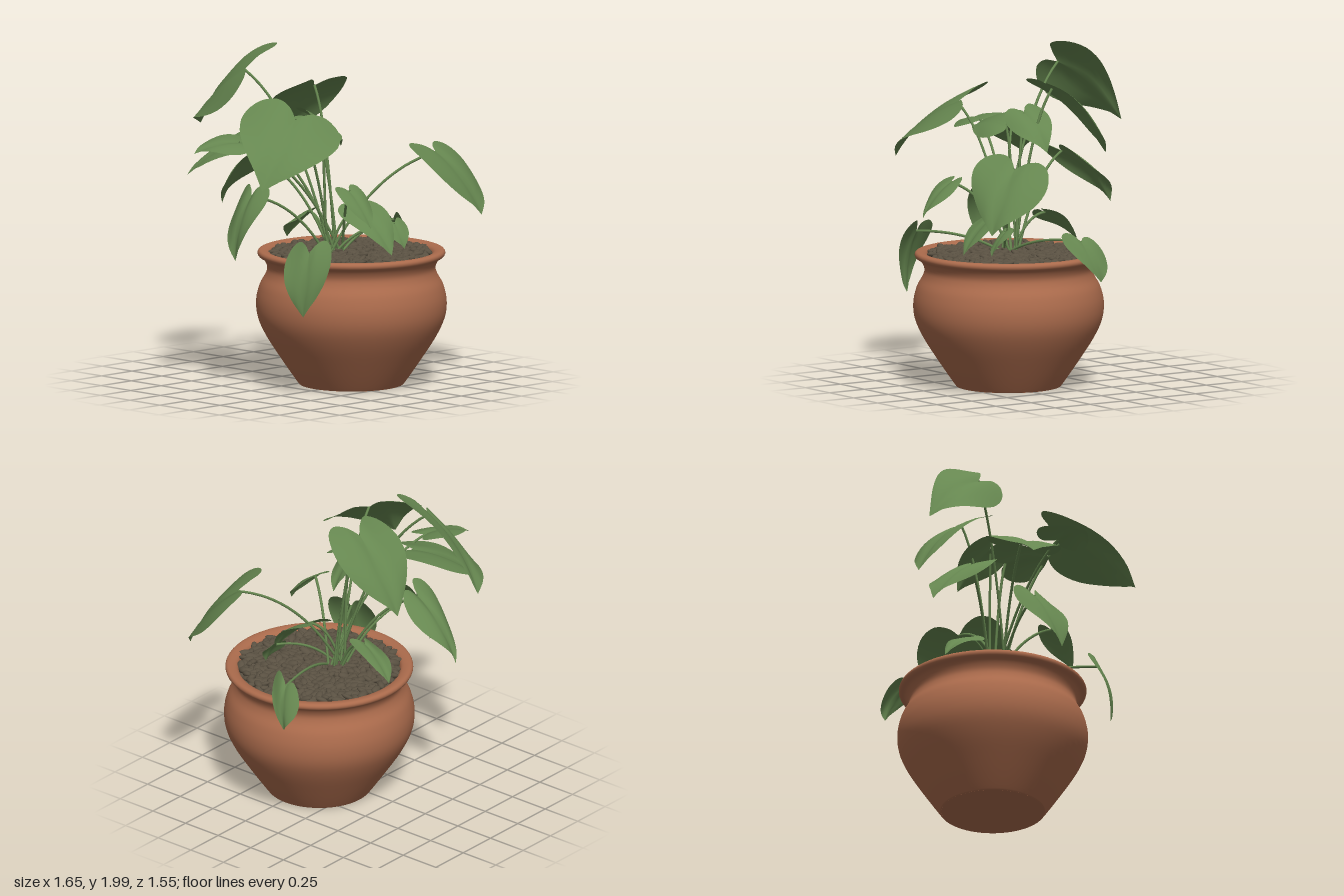
import * as THREE from 'three';
import { mergeGeometries } from 'three/addons/utils/BufferGeometryUtils.js';

const V = (a) => new THREE.Vector3(...a);
const spline = (pairs) => new THREE.SplineCurve(pairs.map(([x, y]) => new THREE.Vector2(x, y)));
const CENTRE = { x: 0.11, z: 0.22 };

// Each leaf: stalk joint, tip, full width vector
const LEAVES = [
  // tall leaves at the back
  { base: [-0.21, 1.84, -0.35], tip: [-0.16, 1.47, -0.77], side: [0.36, 0.34, 0.05] },
  { base: [0.11, 1.74, -0.09], tip: [0.17, 1.34, -0.43], side: [0.46, 0, 0.09] },
  { base: [-0.14, 1.32, -0.33], tip: [-0.1, 1, -0.65], side: [0.3, -0.02, -0.1] },
  // leaves on the -x side
  { base: [-0.38, 1.63, 0.25], tip: [-0.8, 1.27, 0.4], side: [0.27, -0.18, 0.52] },
  { base: [-0.35, 1.48, -0.12], tip: [-0.64, 1.26, -0.39], side: [0.32, 0.06, -0.3] },
  { base: [-0.56, 1.48, -0.04], tip: [-0.82, 1.43, -0.15], side: [-0.12, -0.06, 0.27] },
  { base: [-0.42, 1.14, -0.08], tip: [-0.59, 0.78, -0.04], side: [-0.06, 0.03, 0.3] },
  { base: [-0.48, 0.87, 0.47], tip: [-0.55, 0.5, 0.49], side: [0.13, 0.03, 0.26] },
  // front and centre
  { base: [-0.05, 1.53, 0.13], tip: [-0.37, 1.48, 0.13], side: [0.04, -0.12, 0.3] },
  { base: [-0.02, 1.59, 0.02], tip: [0.22, 1.38, 0.02], side: [0.06, 0.06, -0.24] },
  { base: [0.12, 1.05, 0.28], tip: [0.12, 0.8, 0.55], side: [0.29, 0.03, 0.03] },
  { base: [-0.14, 1.2, 0.46], tip: [-0.15, 1, 0.65], side: [0.2, 0, 0.02] },
  { base: [0.31, 0.95, 0.38], tip: [0.3, 0.81, 0.47], side: [0.15, 0.02, 0.02] },
  { base: [0.05, 1, -0.08], tip: [0.08, 0.82, -0.29], side: [0.2, 0.06, 0.03] },
  // leaves on the +x side
  { base: [0.55, 1.36, 0.48], tip: [0.68, 1, 0.73], side: [0.51, -0.07, -0.16] },
  { base: [0.62, 0.9, 0.05], tip: [0.72, 0.67, -0.02], side: [-0.05, 0.06, 0.24] },
];

// Half of a heart outline: along the midrib, outwards
const HEART = spline([
  [0, 0], [-0.13, 0.2], [-0.2, 0.52], [-0.1, 0.85], [0.14, 1],
  [0.42, 0.88], [0.68, 0.57], [0.88, 0.22], [1, 0],
]);

// Pot section from the middle of the base, up the belly and over the rim
const POT = spline([
  [0, 0.012], [0.27, 0.003], [0.302, 0.003], [0.32, 0.02], [0.41, 0.15], [0.5, 0.29],
  [0.55, 0.4], [0.56, 0.5], [0.54, 0.59], [0.505, 0.655], [0.495, 0.7], [0.515, 0.745],
  [0.545, 0.765], [0.552, 0.785], [0.54, 0.8], [0.51, 0.8], [0.48, 0.785], [0.465, 0.74],
]);

function seeded(seed) {
  return () => {
    seed = (seed * 16807) % 2147483647;
    return seed / 2147483647;
  };
}

// Heart-shaped blade, domed and a little wavy at the edge
function leafGeometry({ base, tip, side }, index) {
  const origin = V(base);
  const axis = V(tip).sub(origin);
  const half = V(side).multiplyScalar(0.5);
  const normal = axis.clone().cross(half).normalize();
  if (normal.y < 0) normal.negate();
  const length = axis.length();
  const rows = 28, cols = 12;
  const pos = [], idx = [];
  for (let i = 0; i <= rows; i++) {
    const t = i / rows;
    const edge = HEART.getPoint(t);
    for (let j = 0; j <= cols; j++) {
      const w = (j / cols) * 2 - 1;
      const a = Math.abs(w);
      const u = THREE.MathUtils.lerp(t, edge.x, a);
      const v = edge.y * w;
      const dome = 0.3 * u * (1 - u) - 0.07 * v * v + 0.03 * Math.min(1, Math.abs(v) * 4);
      const wave = 0.04 * a * a * Math.sin(t * 10 + index * 2 + (w > 0 ? 1.5 : 0)) * Math.sin(Math.PI * t);
      const p = origin.clone().addScaledVector(axis, u).addScaledVector(half, v)
        .addScaledVector(normal, length * (dome + wave));
      pos.push(p.x, p.y, p.z);
      if (i < rows && j < cols) {
        const k = i * (cols + 1) + j;
        idx.push(k, k + 1, k + cols + 1, k + 1, k + cols + 2, k + cols + 1);
      }
    }
  }
  const geo = new THREE.BufferGeometry();
  geo.setAttribute('position', new THREE.Float32BufferAttribute(pos, 3));
  geo.setIndex(idx);
  geo.computeVertexNormals();
  return geo;
}

// Arching stalk from the crown of the plant to the leaf joint
function stemGeometry({ base }, rand) {
  const end = V(base);
  const root = new THREE.Vector3(0.03 + 0.1 * (rand() - 0.5), 0.77, 0.16 + 0.12 * (rand() - 0.5));
  const bend = root.clone().lerp(end, 0.4);
  bend.y = THREE.MathUtils.lerp(root.y, end.y, 0.75) + 0.05;
  const curve = new THREE.QuadraticBezierCurve3(root, bend, end);
  return new THREE.TubeGeometry(curve, 18, 0.008, 6);
}

// Seed-shaped pebbles spread in a sunflower spiral
function pebbleGeometry() {
  const rand = seeded(77);
  const count = 480, list = [];
  for (let i = 0; i < count; i++) {
    const r = 0.465 * Math.sqrt((i + 0.5) / count);
    const a = i * 2.39996;
    const size = 0.9 + 0.4 * rand();
    const g = new THREE.IcosahedronGeometry(1, 1);
    g.scale(0.038 * size, 0.015 * size, 0.021 * size);
    g.rotateZ((rand() - 0.5) * 0.9);
    g.rotateX((rand() - 0.5) * 1.1);
    g.rotateY(rand() * Math.PI * 2);
    g.translate(CENTRE.x + r * Math.cos(a), 0.776 + 0.014 * rand(), CENTRE.z + r * Math.sin(a));
    list.push(g);
  }
  return mergeGeometries(list);
}

export function createModel() {
  const mat = (name, color, side = THREE.FrontSide) => {
    const m = new THREE.MeshStandardMaterial({ color, side });
    m.name = name;
    return m;
  };
  const clay = mat('terracotta', 0xab6b4c, THREE.DoubleSide);
  const stone = mat('pebble brown', 0x5a5142);
  const green = mat('leaf green', 0x668750, THREE.DoubleSide);

  const model = new THREE.Group();
  model.name = 'pottedPlant';
  const add = (name, geo, material, parent = model) => {
    const mesh = new THREE.Mesh(geo, material);
    mesh.name = name;
    parent.add(mesh);
    return mesh;
  };

  // Round-bellied pot with a closed base and a flared rim
  const pot = add('pot', new THREE.LatheGeometry(POT.getPoints(72), 64), clay);
  pot.position.set(CENTRE.x, 0, CENTRE.z);

  // Soil bed and pebbles
  const soil = add('soil', new THREE.CircleGeometry(0.475, 48).rotateX(-Math.PI / 2), stone);
  soil.position.set(CENTRE.x, 0.77, CENTRE.z);
  add('pebbles', pebbleGeometry(), stone);

  // Leaves with their stems
  const rand = seeded(5);
  LEAVES.forEach((spec, i) => {
    const group = new THREE.Group();
    group.name = `leafAndStem${i + 1}`;
    add('leaf', leafGeometry(spec, i), green, group);
    add('stem', stemGeometry(spec, rand), green, group);
    model.add(group);
  });
  return model;
}
